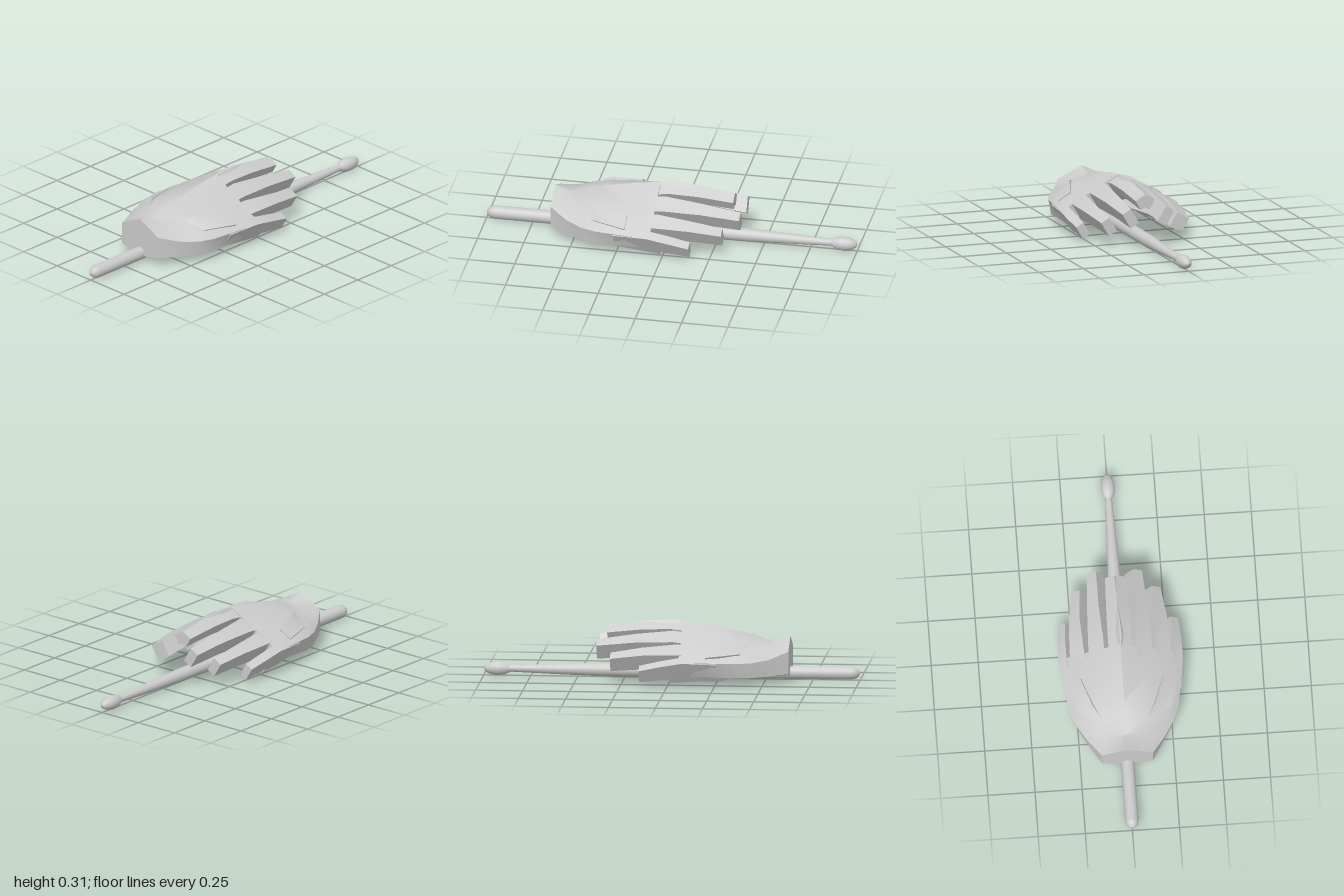
import * as THREE from 'three';
import { toCreasedNormals } from 'three/addons/utils/BufferGeometryUtils.js';

const grey = new THREE.MeshStandardMaterial({ color: 0xcccccc, side: THREE.DoubleSide });

// Solid through rings of [x, y, z], counter-clockwise from +z, ordered from +z to -z
function loft(rings, crease) {
  const n = rings[0].length, index = [];
  for (let i = 0; i < rings.length - 1; i++) {
    for (let j = 0; j < n; j++) {
      const a = i * n + j, t = i * n + (j + 1) % n;
      index.push(a, a + n, t, t, a + n, t + n);
    }
  }
  const cap = (ring, start, flip) => {
    const outline = ring.map(([x, y]) => new THREE.Vector2(x, y));
    for (const [a, b, c] of THREE.ShapeUtils.triangulateShape(outline, [])) {
      index.push(start + a, start + (flip ? c : b), start + (flip ? b : c));
    }
  };
  cap(rings[0], 0, false);
  cap(rings[rings.length - 1], (rings.length - 1) * n, true);
  const g = new THREE.BufferGeometry();
  g.setAttribute('position', new THREE.Float32BufferAttribute(rings.flat(2), 3));
  g.setIndex(index);
  return toCreasedNormals(g, crease);
}

// Tilted box section: centre x, y, z, width, height
function boxRing([x, y, z, w, h], tilt) {
  const c = Math.cos(tilt), s = Math.sin(tilt);
  return [[-1, -1], [1, -1], [1, 1], [-1, 1]].map(([u, v]) => {
    const p = u * w / 2, q = v * h / 2;
    return [x + p * c - q * s, y + p * s + q * c, z];
  });
}

const mirrorRing = ring => ring.map(([x, y, z]) => [-x, y, z]).reverse();

function add(parent, name, geometry) {
  const mesh = new THREE.Mesh(geometry, grey);
  mesh.name = name;
  parent.add(mesh);
  return mesh;
}

export function createModel() {
  const model = new THREE.Group();
  model.name = 'handsOnDrumstick';

  // Drumstick: rounded butt, long shaft, tapered shoulder and oval tip
  const profile = [
    [0, -1], [0.017, -0.993], [0.029, -0.978], [0.035, -0.955], [0.035, 0.4],
    [0.028, 0.6], [0.018, 0.855], [0.023, 0.868], [0.033, 0.89], [0.037, 0.92],
    [0.035, 0.95], [0.027, 0.977], [0.014, 0.995], [0, 1],
  ].map(([r, y]) => new THREE.Vector2(r, y));
  const stick = add(model, 'drumstick', new THREE.LatheGeometry(profile, 16));
  stick.rotation.x = -Math.PI / 2;
  stick.position.y = 0.038;

  // Backs of both hands: roof-shaped shell, closed at the wrist and hollow below
  // z, ridge y, middle x y, shoulder x y, side x y, lower edge x y, inner edge x y, ceiling y
  const sections = [
    [0.63, 0.235, 0.07, 0.202, 0.11, 0.182, 0.135, 0.17, 0.135, 0.05, 0.07, 0.035, 0.02],
    [0.53, 0.205, 0.1, 0.185, 0.175, 0.158, 0.205, 0.135, 0.195, 0.045, 0.11, 0.05, 0.08],
    [0.44, 0.24, 0.13, 0.203, 0.215, 0.168, 0.258, 0.125, 0.245, 0.044, 0.17, 0.06, 0.13],
    [0.36, 0.256, 0.15, 0.213, 0.245, 0.168, 0.288, 0.125, 0.272, 0.045, 0.21, 0.07, 0.165],
    [0.2, 0.288, 0.16, 0.22, 0.255, 0.17, 0.315, 0.13, 0.28, 0.052, 0.24, 0.08, 0.2],
    [0.06, 0.306, 0.16, 0.22, 0.26, 0.165, 0.321, 0.13, 0.28, 0.05, 0.24, 0.085, 0.22],
  ];
  const shell = sections.map(([z, top, mx, my, hx, hy, sx, sy, lx, ly, ix, iy, under]) => {
    const half = [[ix, iy, z], [lx, ly, z], [sx, sy, z], [hx, hy, z], [mx, my, z]];
    return [[0, under, z], ...half, [0, top, z], ...mirrorRing(half)];
  });
  add(model, 'handBacks', loft(shell, 0.6));

  // Fingers and thumb of one hand, each as centre x, y, z, width, height
  const digits = {
    innerFinger: [[0.02, 0.235, 0.2, 0.06, 0.06], [0.01, 0.265, 0, 0.085, 0.065],
      [0.013, 0.258, -0.15, 0.073, 0.065], [0.014, 0.236, -0.34, 0.058, 0.06]],
    middleFinger: [[0.105, 0.185, 0.2, 0.09, 0.08], [0.102, 0.2, 0.02, 0.095, 0.1],
      [0.105, 0.19, -0.18, 0.072, 0.095], [0.099, 0.165, -0.39, 0.054, 0.09]],
    ringFinger: [[0.19, 0.14, 0.22, 0.085, 0.08], [0.205, 0.145, 0.04, 0.088, 0.1],
      [0.207, 0.135, -0.14, 0.067, 0.095], [0.193, 0.112, -0.31, 0.052, 0.085]],
    littleFinger: [[0.265, 0.1, 0.26, 0.055, 0.08], [0.282, 0.1, 0.08, 0.052, 0.1],
      [0.284, 0.083, -0.04, 0.05, 0.09], [0.28, 0.064, -0.15, 0.046, 0.075]],
    thumbBase: [[0.12, 0.15, 0.47, 0.08, 0.06], [0.19, 0.166, 0.37, 0.1, 0.07],
      [0.242, 0.151, 0.2, 0.08, 0.06]],
    thumb: [[0.165, 0.085, 0.42, 0.06, 0.05], [0.205, 0.068, 0.28, 0.075, 0.065],
      [0.24, 0.068, 0.14, 0.07, 0.065], [0.253, 0.055, 0.01, 0.063, 0.058]],
  };
  for (const side of ['left', 'right']) {
    const hand = new THREE.Group();
    hand.name = side + 'HandDigits';
    for (const [name, path] of Object.entries(digits)) {
      const rings = path.map(p => boxRing(p, -0.54));
      add(hand, name, loft(side === 'left' ? rings : rings.map(mirrorRing), 0.6));
    }
    model.add(hand);
  }
  return model;
}
